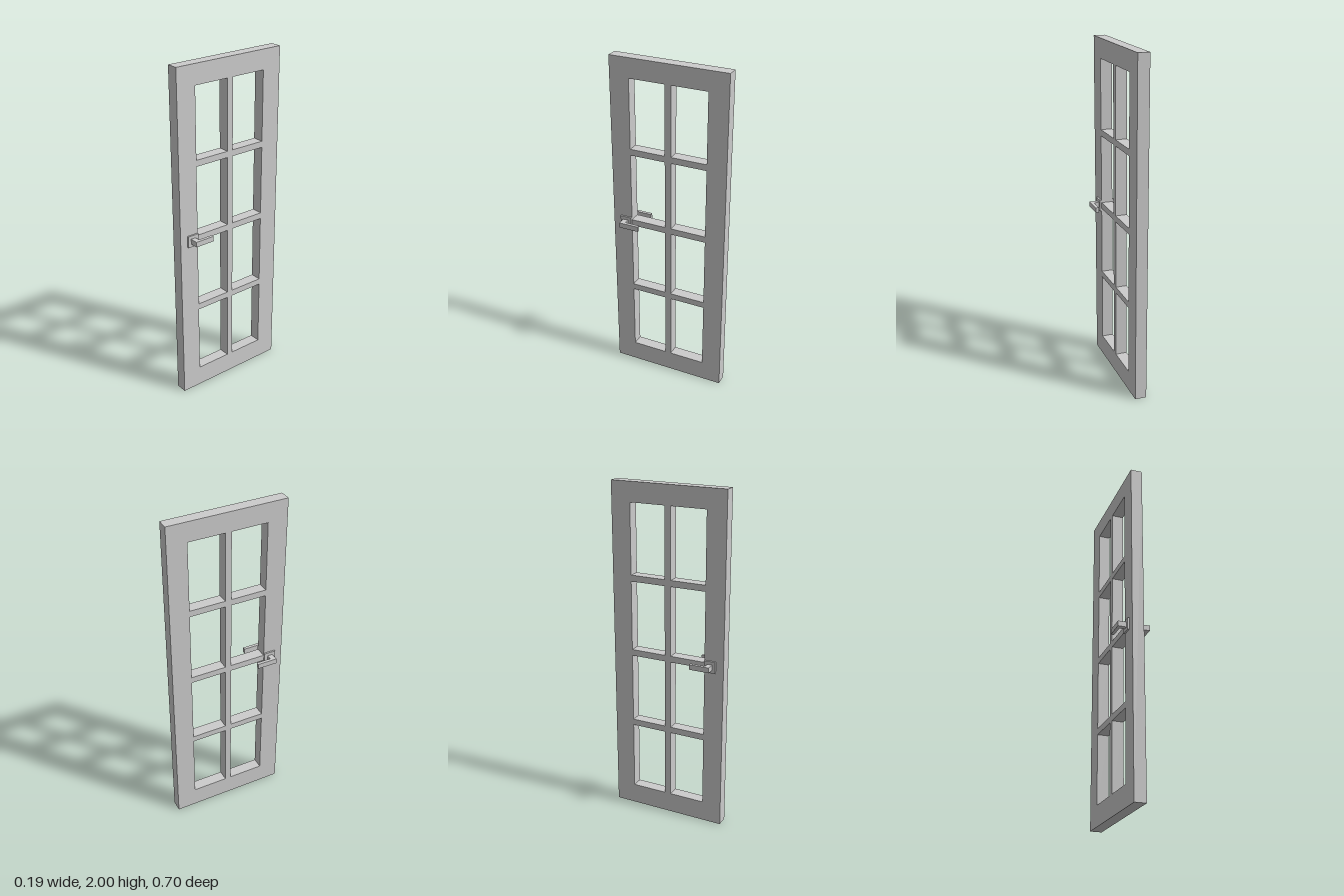
import * as THREE from 'three';

const material = new THREE.MeshStandardMaterial({ color: 0xcccccc, flatShading: true });

// Box given by its [min, max] extent on each axis
function box(name, [x0, x1], [y0, y1], [z0, z1]) {
  const mesh = new THREE.Mesh(new THREE.BoxGeometry(x1 - x0, y1 - y0, z1 - z0), material);
  mesh.position.set((x0 + x1) / 2, (y0 + y1) / 2, (z0 + z1) / 2);
  mesh.name = name;
  return mesh;
}

// Door leaf: one slab with a grid of window openings, frame and glazing bars flush
function createLeaf() {
  const halfWidth = 0.35, height = 2, thickness = 0.068;
  const rows = 4, bar = 0.037, paneWidth = 0.214, paneHeight = 0.413, sill = 0.122;

  const outline = new THREE.Shape([
    new THREE.Vector2(-halfWidth, 0), new THREE.Vector2(halfWidth, 0),
    new THREE.Vector2(halfWidth, height), new THREE.Vector2(-halfWidth, height),
  ]);
  for (const left of [-bar / 2 - paneWidth, bar / 2]) {
    for (let row = 0; row < rows; row++) {
      const bottom = sill + row * (paneHeight + bar);
      const right = left + paneWidth, top = bottom + paneHeight;
      outline.holes.push(new THREE.Path([
        new THREE.Vector2(left, bottom), new THREE.Vector2(left, top),
        new THREE.Vector2(right, top), new THREE.Vector2(right, bottom),
      ]));
    }
  }
  const geometry = new THREE.ExtrudeGeometry(outline, { depth: thickness, bevelEnabled: false });
  geometry.translate(0, 0, -thickness / 2);
  geometry.rotateY(Math.PI / 2);
  const leaf = new THREE.Mesh(geometry, material);
  leaf.name = 'doorLeaf';
  return leaf;
}

// Lever handle on the +x face; the other is the same turned over
function createHandle(name) {
  const handle = new THREE.Group();
  handle.name = name;
  handle.add(
    box('backPlate', [0.034, 0.044], [0.968, 1.037], [0.234, 0.303]),
    box('spindle', [0.044, 0.075], [0.987, 1.018], [0.255, 0.285]),
    box('lever', [0.075, 0.0935], [0.987, 1.018], [0.165, 0.285]),
  );
  return handle;
}

export function createModel() {
  const door = new THREE.Group();
  door.name = 'glazedDoor';
  const leftHandle = createHandle('leftHandle');
  const rightHandle = createHandle('rightHandle');
  // Mirror each box of the right handle across the leaf
  for (const part of rightHandle.children) part.position.x *= -1;
  door.add(createLeaf(), leftHandle, rightHandle);
  return door;
}
